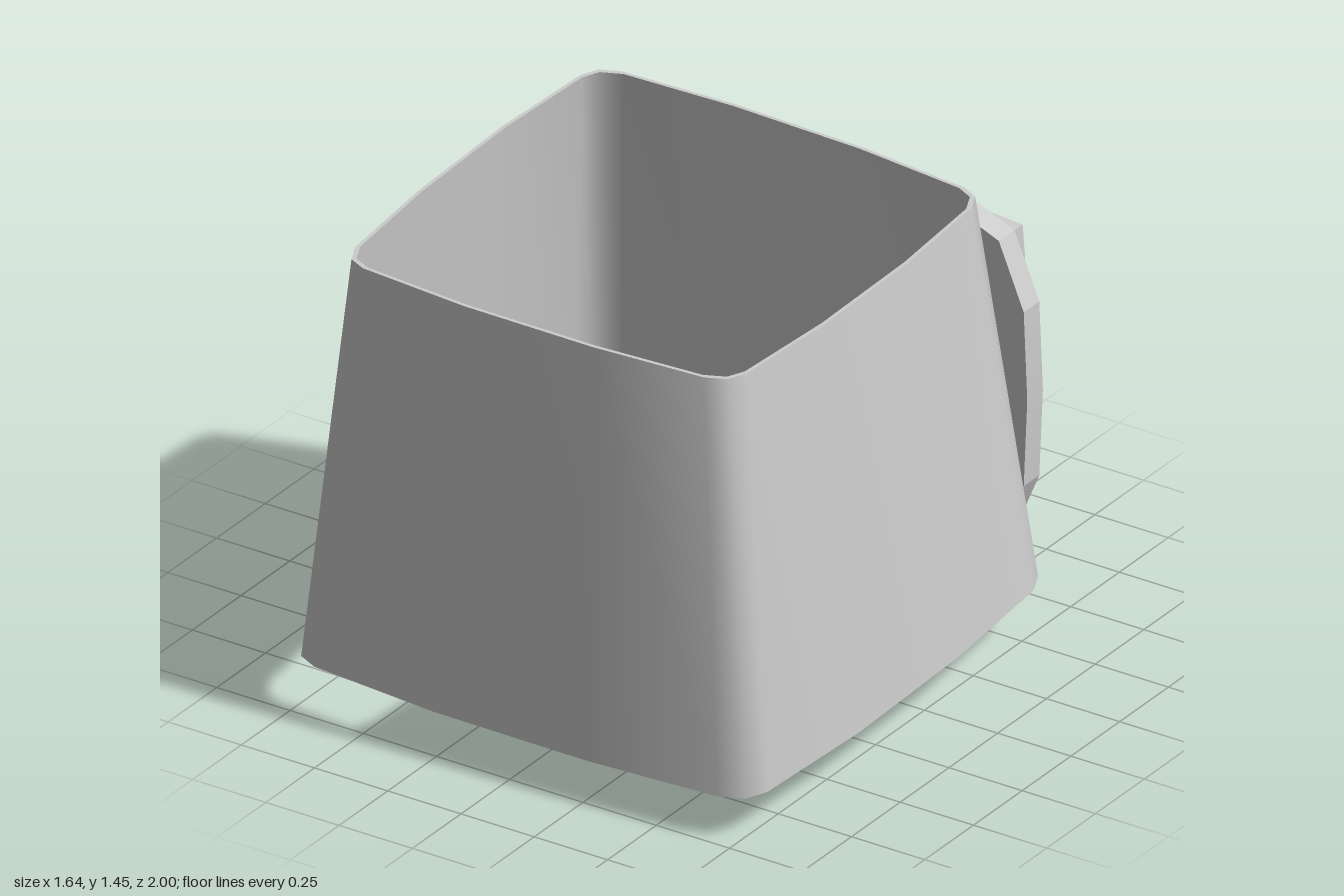
import * as THREE from 'three';
import { toCreasedNormals } from 'three/addons/utils/BufferGeometryUtils.js';

const CX = -0.02; // centre line of plate, arm and bulb

// Repeat one quadrant of an outline four times around the centre
function outline(quadrant) {
  const pts = [];
  for (let k = 0; k < 4; k++) {
    for (const [a, b] of quadrant) {
      pts.push([[a, b], [-b, a], [-a, -b], [b, -a]][k]);
    }
  }
  return pts;
}

// Skin a series of closed rings that all have the same number of points
function loft(rings, crease) {
  const n = rings[0].length;
  const index = [];
  for (let i = 0; i < rings.length - 1; i++) {
    for (let j = 0; j < n; j++) {
      const a = i * n + j, b = i * n + (j + 1) % n;
      index.push(a, a + n, b + n, a, b + n, b);
    }
  }
  const geo = new THREE.BufferGeometry();
  geo.setAttribute('position', new THREE.Float32BufferAttribute(rings.flat(2), 3));
  geo.setIndex(index);
  return toCreasedNormals(geo, crease);
}

export function createModel() {
  const group = new THREE.Group();
  const material = new THREE.MeshStandardMaterial({ color: 0xcccccc });
  const thin = new THREE.MeshStandardMaterial({ color: 0xcccccc, side: THREE.DoubleSide });
  const add = (name, geo, mat = material) => {
    const mesh = new THREE.Mesh(geo, mat);
    mesh.name = name;
    group.add(mesh);
    return mesh;
  };

  // Shade: tapered rounded square, open at both ends, slightly tilted rims
  const shadeLine = outline([[0.825, 0.26], [0.795, 0.69], [0.765, 0.755], [0.69, 0.79], [0.26, 0.822]]);
  const bottomY = (x, z) => 0.172 - 0.02 * x - 0.037 * z + 0.012 * x * z;
  const topY = (x, z) => 1.421 - 0.018 * x - 0.022 * z + 0.0137 * x * z;
  const shadeRing = (scale, cx, cz, height) =>
    shadeLine.map(([x, z]) => [x * scale + cx, height(x * scale, z * scale), z * scale + cz]);
  const bottomOuter = shadeRing(0.995, 0, 0.18, bottomY);
  add('shade', loft([
    bottomOuter,
    shadeRing(0.842, -0.015, 0.19, topY),
    shadeRing(0.828, -0.015, 0.19, topY),
    shadeRing(0.98, 0, 0.18, bottomY),
    bottomOuter,
  ], 0.85), thin);

  // Wall plate: collar, bevelled slab, raised back frame, recess and square hole
  const slab = outline([[0.582, 0], [0.57, 0.28], [0.485, 0.485], [0.28, 0.57]]);
  const frame = outline([[0.464, 0], [0.457, 0.22], [0.44, 0.44], [0.22, 0.457]]);
  const square = outline([[1, 0], [1, 0.5], [1, 1], [0.5, 1]]);
  const ring = (line, scale, z) => line.map(([x, y]) => [x * scale + CX, y * scale + 0.585, z]);
  add('wallPlate', loft([
    ring(square, 0.135, -0.795),
    ring(square, 0.152, -0.81),
    ring(slab, 1, -0.81),
    ring(slab, 1, -0.89),
    ring(frame, 1, -0.93),
    ring(frame, 1, -1),
    ring(frame, 0.965, -1),
    ring(frame, 0.965, -0.89),
    ring(square, 0.14, -0.89),
    ring(square, 0.135, -0.795),
  ], 0.3));

  // Arm: bent bar drawn in side profile (z, y) and extruded across x
  const armProfile = [
    [-0.795, 0.725], [-0.795, 0.16], [-0.745, 0.035], [-0.6, 0.025], [0.08, 0.13],
    [0.23, 0.13], [0.23, 0.23], [0.05, 0.25], [-0.58, 0.16], [-0.62, 0.18], [-0.62, 0.725],
  ];
  const armShape = new THREE.Shape(armProfile.map(([z, y]) => new THREE.Vector2(-z, y)));
  const armGeo = new THREE.ExtrudeGeometry(armShape, { depth: 0.27, bevelEnabled: false });
  armGeo.rotateY(Math.PI / 2);
  armGeo.translate(CX - 0.135, 0, 0);
  add('arm', toCreasedNormals(armGeo, 0.9));

  // Bulb: narrow socket opening into a rounded globe
  const bulbProfile = [
    [0, 0.2], [0.085, 0.2], [0.085, 0.29], [0.125, 0.4], [0.15, 0.45], [0.172, 0.53],
    [0.18, 0.61], [0.167, 0.68], [0.13, 0.74], [0.07, 0.78], [0, 0.79],
  ];
  const bulbGeo = new THREE.LatheGeometry(bulbProfile.map(([r, y]) => new THREE.Vector2(r, y)), 16);
  add('bulb', toCreasedNormals(bulbGeo, 0.8)).position.set(CX, 0, 0.155);

  return group;
}
